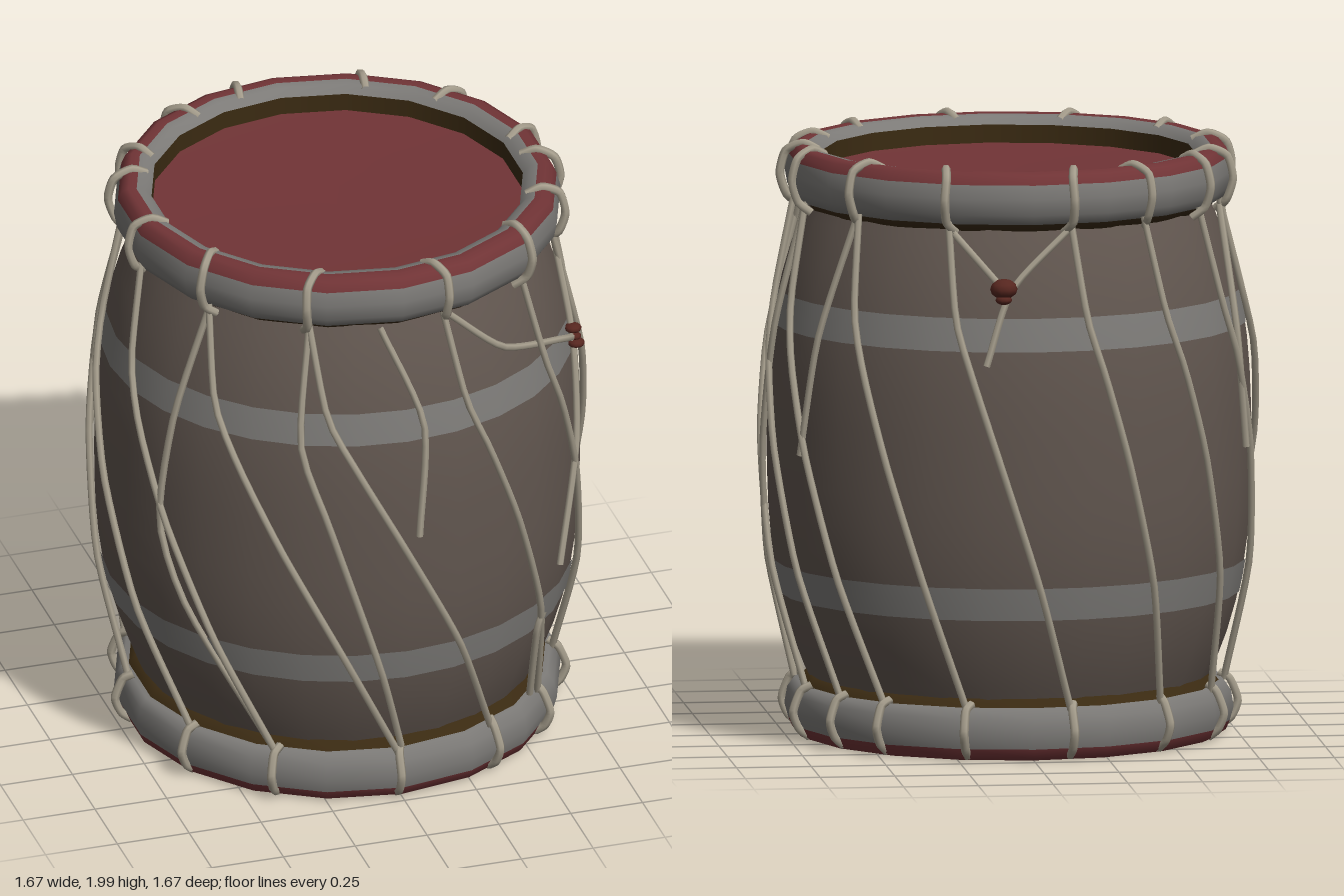
import * as THREE from 'three';

const mat = (name, color, side = THREE.FrontSide) => {
  const m = new THREE.MeshStandardMaterial({ color, side });
  m.name = name;
  return m;
};

export function createModel() {
  const group = new THREE.Group();
  const wood = mat('brown wood', 0x61564f);
  const grey = mat('grey band', 0x7c7a77);
  const red = mat('red skin', 0x713436);
  const rope = mat('pale rope', 0xa59d8c);
  const dark = mat('dark lining', 0x3a2a12, THREE.DoubleSide);
  const beadRed = mat('bead red', 0x56261f);

  const add = (name, geometry, material) => {
    const mesh = new THREE.Mesh(geometry, material);
    mesh.name = name;
    group.add(mesh);
    return mesh;
  };
  // profile of [radius, height] pairs turned around the upright axis
  const turn = (name, profile, material, sides = 18) =>
    add(name, new THREE.LatheGeometry(profile.map(p => new THREE.Vector2(...p)), sides), material);
  // the same profile turned upside down
  const flip = profile => profile.map(([r, y]) => [r, 2 - y]).reverse();

  // barrel body and its two painted bands
  const bodyR = y => 0.81 - 0.17 * Math.pow(Math.abs(y - 1) / 0.85, 2.6);
  const wall = (y0, y1, n, off) => Array.from({ length: n + 1 }, (_, i) => {
    const y = y0 + (y1 - y0) * i / n;
    return [bodyR(y) + off, y];
  });
  turn('barrelBody', wall(0.14, 1.86, 16, 0), wood, 28);
  turn('lowerBand', wall(0.49, 0.6, 2, 0.004), grey, 28);
  turn('upperBand', wall(1.395, 1.505, 2, 0.004), grey, 28);

  // hoops, skin edges, linings and drumheads
  const hoop = [[0.64, 1.815], [0.715, 1.812], [0.738, 1.845], [0.748, 1.9], [0.735, 1.947]];
  const edge = [[0.735, 1.947], [0.722, 1.978], [0.70, 1.988], [0.672, 1.985]];
  const lip = [[0.672, 1.985], [0.645, 1.98], [0.622, 1.955]];
  const lining = [[0.622, 1.955], [0.62, 1.87]];
  const head = [[0.63, 1.895], [0.4, 1.885], [0, 1.88]];
  const fringe = [[0.70, 1.815], [0.675, 1.785], [0.635, 1.79]];
  turn('topHoop', hoop, grey);
  turn('topSkinEdge', edge, red);
  turn('topHoopLip', lip, grey);
  turn('topLining', lining, dark);
  turn('topHead', head, red);
  turn('topFringe', fringe, dark);
  turn('bottomHoop', flip(hoop), grey);
  turn('bottomSkinEdge', flip(edge), red);
  turn('bottomHoopLip', flip(lip), red);
  turn('bottomHead', flip([[0.622, 1.955], [0.58, 1.94], [0.3, 1.935], [0, 1.935]]), red);
  turn('bottomFringe', flip(fringe), dark);

  // ropes: points of [angle from the front in degrees, height, radius]
  const polar = (deg, y, r) => {
    const a = THREE.MathUtils.degToRad(deg);
    return new THREE.Vector3(r * Math.sin(a), y, r * Math.cos(a));
  };
  const ropeR = y => Math.max(bodyR(y) + 0.016, 0.715);
  const cord = (name, points, radius = 0.012) => {
    const path = new THREE.CatmullRomCurve3(
      points.map(([deg, y, r = ropeR(y)]) => polar(deg, y, r)), false, 'catmullrom', 0.35);
    add(name, new THREE.TubeGeometry(path, points.length * 4, radius, 6), rope);
  };

  const tops = [12, 41, 67, 86, 102, 129, 157, 190, 212, 235, 251, 277, 306, 335];
  const feet = [51, 76, 103, 122, 138, 162, 190, 218, 243, 267, 300, 326, 359, 388];
  tops.forEach((top, i) => {
    const d = feet[i] - top;
    cord('slantRope', [[top, 1.82], [top + d * 0.1, 1.5], [top + d * 0.24, 1.3],
      [top + d * 0.45, 1.0], [top + d * 0.72, 0.6], [feet[i], 0.18]]);
    // loops over both hoops
    const s = i % 2 ? 3 : -3;
    cord('topLoop', [[top + s, 1.97, 0.635], [top + s * 0.5, 1.992, 0.685], [top, 1.965, 0.742],
      [top, 1.89, 0.762], [top, 1.82, 0.74], [top - s * 0.5, 1.785, 0.70]], 0.015);
    cord('bottomLoop', [[feet[i], 0.025, 0.705], [feet[i], 0.055, 0.742],
      [feet[i], 0.11, 0.762], [feet[i], 0.18, 0.735], [feet[i] + 1, 0.2, 0.70]], 0.015);
  });

  // crossing ropes that lean the other way or join a neighbour
  [
    [[306, 1.8], [300, 1.4], [297, 1.0], [305, 0.7], [325, 0.2]],
    [[335, 1.8], [334, 1.4], [341, 1.1], [353, 0.55], [360, 0.2]],
    [[354, 1.8], [364, 1.45], [362, 1.05]],
    [[14, 1.8], [30, 1.62], [55, 1.5], [63, 1.45]],
    [[70, 1.8], [63, 1.45], [57, 1.1], [48, 0.7]],
    [[101, 1.8], [97, 1.4], [91, 1.0], [87, 0.65], [84, 0.5], [85, 0.2]],
    [[128, 1.8], [121, 1.4], [116, 1.0]],
    [[190, 1.8], [174, 1.6], [168, 1.35]],
    [[157, 1.8], [172, 1.6]],
    [[251, 1.8], [244, 1.4], [246, 1.0]],
    [[42, 0.56], [41, 0.48], [46, 0.2]],
  ].forEach(points => cord('crossRope', points));

  // beads threaded on the crossing ropes
  const bead = (deg, y, size, flat) => {
    const mesh = add('bead', new THREE.SphereGeometry(size, 10, 6), beadRed);
    mesh.position.copy(polar(deg, y, ropeR(y) + 0.008));
    mesh.scale.y = flat;
  };
  [1.43, 1.455, 1.485].forEach((y, i) => bead(63, y, i === 1 ? 0.022 : 0.029, 0.55));
  bead(172, 1.605, 0.046, 0.75);
  bead(172, 1.57, 0.028, 0.6);

  return group;
}
